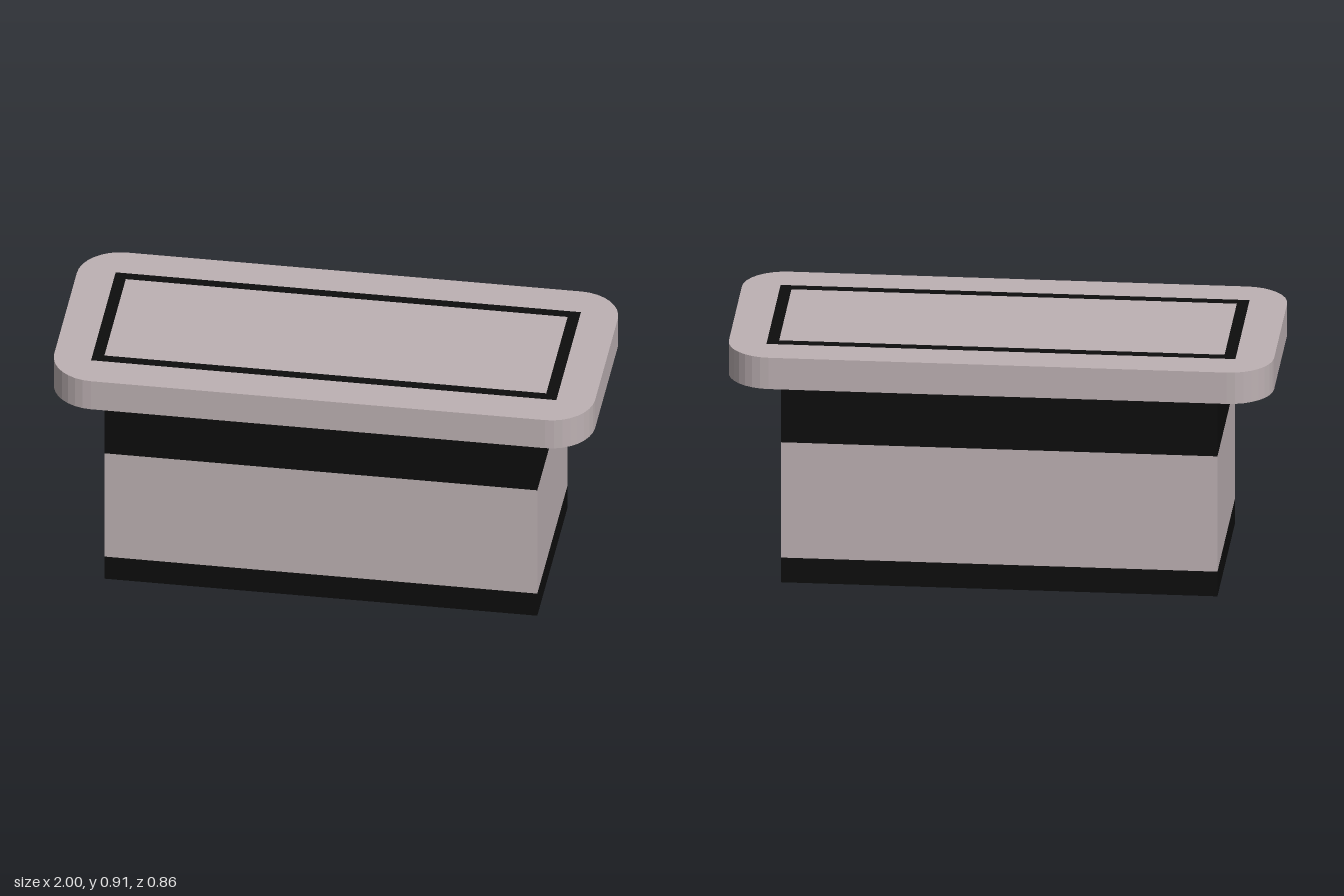
import * as THREE from 'three';

const stone = new THREE.MeshStandardMaterial({ color: 0xbdb1b3, flatShading: true });
const black = new THREE.MeshStandardMaterial({ color: 0x0d0d0d, flatShading: true });

// Rectangle outline with half sizes w and d and corner radius r
function outline(Kind, w, d, r = 0) {
  const s = new Kind();
  if (r === 0) {
    return s.setFromPoints([[w, d], [-w, d], [-w, -d], [w, -d]].map(([x, y]) => new THREE.Vector2(x, y)));
  }
  const corners = [[1, 1], [-1, 1], [-1, -1], [1, -1]];
  corners.forEach(([sx, sy], i) => {
    const a = i * Math.PI / 2;
    s.absarc(sx * (w - r), sy * (d - r), r, a, a + Math.PI / 2, false);
  });
  s.closePath();
  return s;
}

// Lay an outline flat and extrude it upwards from y
function slab(name, shape, y, height, material) {
  const geo = new THREE.ExtrudeGeometry(shape, { depth: height, bevelEnabled: false, curveSegments: 4 });
  geo.rotateX(-Math.PI / 2);
  const mesh = new THREE.Mesh(geo, material);
  mesh.name = name;
  mesh.position.y = y;
  return mesh;
}

// Box section of the pedestal between two heights
function section(name, y0, y1, material) {
  const mesh = new THREE.Mesh(new THREE.BoxGeometry(1.6, y1 - y0, 0.72), material);
  mesh.name = name;
  mesh.position.y = (y0 + y1) / 2;
  return mesh;
}

export function createModel() {
  const group = new THREE.Group();
  group.name = 'counter';

  // Pedestal: dark plinth with a pale underside, pale body, dark neck
  group.add(section('plinth', 0, 0.097, [black, black, black, stone, black, black]));
  group.add(section('body', 0.097, 0.55, stone));
  group.add(section('neck', 0.55, 0.785, black));

  // Overhanging top with rounded corners
  group.add(slab('counterTop', outline(THREE.Shape, 1, 0.43, 0.16), 0.785, 0.123, stone));

  // Dark rectangular inlay on the top
  const frame = outline(THREE.Shape, 0.86, 0.293);
  frame.holes.push(outline(THREE.Path, 0.817, 0.256));
  group.add(slab('topInlay', frame, 0.907, 0.002, black));

  return group;
}
